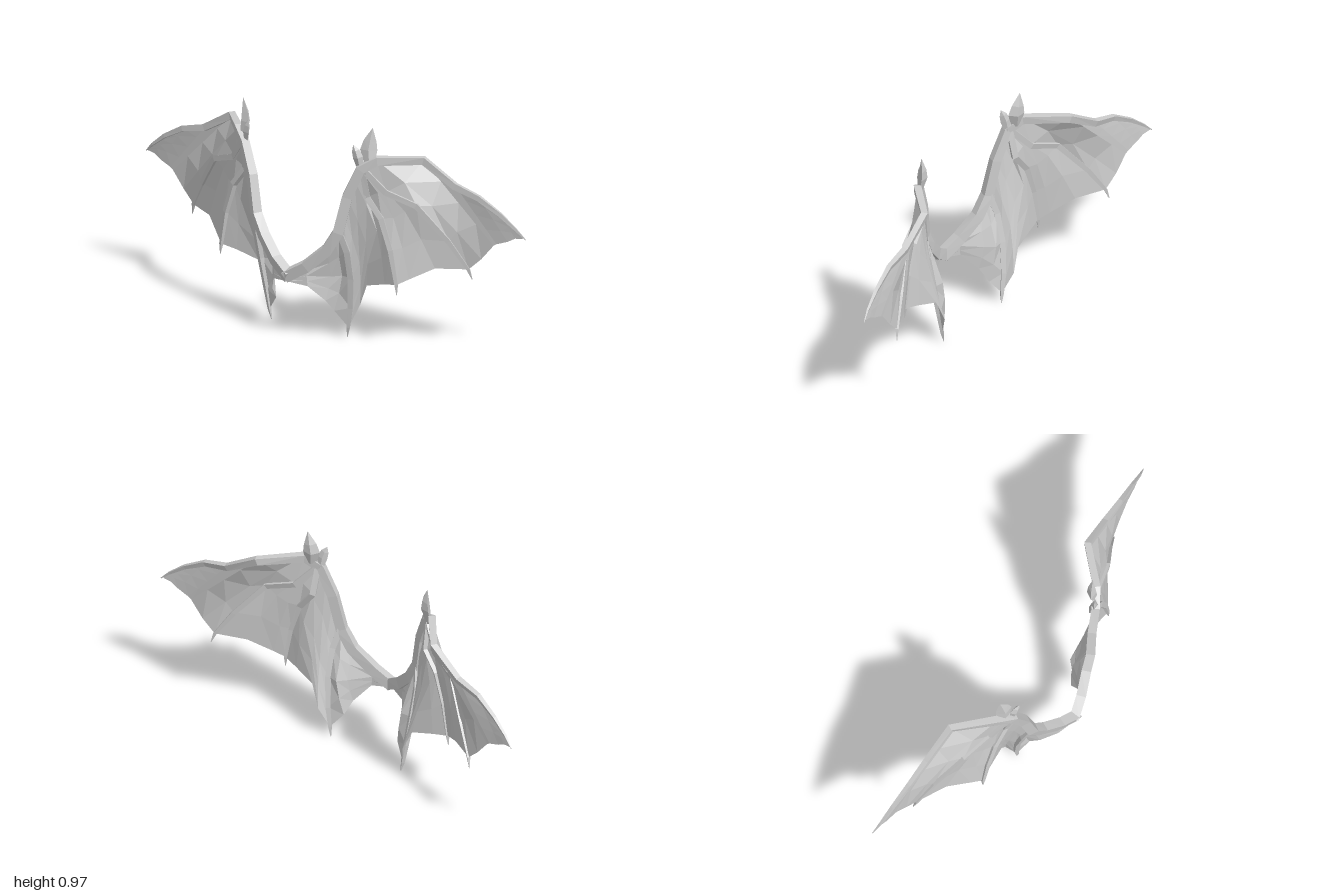
import * as THREE from 'three';

const V = (p) => new THREE.Vector3(...p);
const FRONT = new THREE.Vector3(0.5, 0, 0.86); // way the wing faces

// Bone paths of the left wing
const arm = [
  [-0.01, 0.28, 0.165], [0.08, 0.335, 0.14], [0.165, 0.415, 0.108], [0.215, 0.5, 0.095], [0.25, 0.66, 0.078],
  [0.305, 0.79, 0.058], [0.365, 0.83, 0.02], [0.505, 0.82, -0.125], [0.66, 0.73, -0.142], [0.78, 0.7, -0.147],
  [0.885, 0.642, -0.16], [0.96, 0.585, -0.172], [1, 0.547, -0.183],
].map(V);
const innerFinger = [
  [0.218, 0.51, 0.09], [0.24, 0.41, 0.06], [0.238, 0.28, 0.03], [0.222, 0.14, 0.012], [0.208, 0.05, 0.008],
  [0.2, 0.005, 0.005],
].map(V);
const middleFinger = [
  [0.315, 0.79, 0.05], [0.322, 0.66, 0.025], [0.39, 0.575, 0.018], [0.435, 0.44, 0.014], [0.462, 0.29, 0.01],
  [0.465, 0.245, 0.012],
].map(V);
const outerFinger = [
  [0.32, 0.785, 0.045], [0.4, 0.69, 0], [0.53, 0.645, -0.04], [0.65, 0.49, -0.11], [0.725, 0.37, -0.148],
  [0.738, 0.325, -0.157],
].map(V);
const largeClaw = [[0.335, 0.81, 0.03], [0.325, 0.87, 0.022], [0.33, 0.91, 0.018], [0.342, 0.97, 0.016]].map(V);
const smallClaw = [[0.3, 0.79, 0.05], [0.295, 0.84, 0.058], [0.286, 0.87, 0.063], [0.277, 0.895, 0.068]].map(V);

// Point on the arm at a fractional joint number
function onArm(joint) {
  const i = Math.min(Math.floor(joint), arm.length - 2);
  return arm[i].clone().lerp(arm[i + 1], joint - i);
}

// Fold of skin from the arm to the edge, bowed through an optional middle point
function fold(joint, edge, middle) {
  const top = onArm(joint), end = V(edge);
  const mid = middle ? V(middle) : top.clone().lerp(end, 0.5);
  return new THREE.CatmullRomCurve3([top, mid, end]).getPoints(4);
}

// Skin over rows of points; closed rows form a tube, mirror builds the other side
function skin(rows, closed, mirror) {
  const n = rows[0].length, pos = [], index = [];
  rows.forEach((row) => row.forEach((p) => pos.push(mirror ? -p.x : p.x, p.y, p.z)));
  for (let r = 0; r < rows.length - 1; r++) {
    for (let k = 0; k < (closed ? n : n - 1); k++) {
      const a = r * n + k, b = r * n + (k + 1) % n, c = a + n, d = b + n;
      if (mirror) index.push(a, c, b, b, c, d);
      else index.push(a, b, c, b, d, c);
    }
  }
  const g = new THREE.BufferGeometry();
  g.setAttribute('position', new THREE.Float32BufferAttribute(pos, 3));
  g.setIndex(index);
  g.computeVertexNormals();
  return g;
}

// Four-sided bone along a path; width(t) is its half width, flatness its depth ratio
function bone(path, width, flatness, corners, mirror) {
  const last = path.length - 1;
  const ring = (i, scale) => {
    const t = path[Math.min(i + 1, last)].clone().sub(path[Math.max(i - 1, 0)]).normalize();
    const side = t.clone().cross(FRONT).normalize();
    const up = side.clone().cross(t);
    const w = width(i / last) * scale;
    return corners.map(([u, s]) => path[i].clone().addScaledVector(up, u * w * flatness).addScaledVector(side, s * w));
  };
  return skin([ring(0, 0), ...path.map((_, i) => ring(i, 1)), ring(last, 0)], true, mirror);
}

const BOX = [[1, -0.75], [0.8, 1], [-0.8, 1], [-1, -0.75]];
const DIAMOND = [[1, 0], [0, 1], [-1, 0], [0, -1]];
const armWidth = (t) => 0.028 * (1 - 0.93 * t * t);
const fingerWidth = (t) => 0.015 * (1 - 0.9 * t ** 3);
const clawWidth = (w) => (t) => w * Math.sin(Math.PI * (0.2 + 0.8 * t));

// Folds of the membrane from root to tip, one finger between each pair of panels
function membraneFolds() {
  return [
    fold(0, [-0.01, 0.26, 0.174]),
    fold(1, [0.09, 0.245, 0.14]),
    fold(2, [0.14, 0.175, 0.08], [0.155, 0.28, 0.062]),
    fold(2.65, [0.153, 0.12, 0.035], [0.185, 0.28, 0.022]),
    innerFinger.slice(0, 5),
    fold(3.55, [0.24, 0.145, -0.03], [0.268, 0.35, 0.01]),
    fold(4, [0.285, 0.245, -0.018], [0.305, 0.45, 0.015]),
    fold(4.6, [0.39, 0.275, -0.003], [0.36, 0.51, 0.01]),
    middleFinger.slice(0, 5),
    fold(5, [0.505, 0.315, -0.02], [0.435, 0.58, -0.005]),
    fold(5.1, [0.595, 0.365, -0.085], [0.48, 0.61, -0.028]),
    outerFinger.slice(0, 5),
    fold(6, [0.785, 0.425, -0.158], [0.58, 0.64, -0.085]),
    fold(7, [0.845, 0.495, -0.163]),
    fold(8, [0.86, 0.505, -0.165]),
    fold(9, [0.915, 0.525, -0.17]),
    fold(10, [0.95, 0.545, -0.175]),
    fold(11.3, [0.99, 0.55, -0.18]),
  ];
}

export function createModel() {
  const group = new THREE.Group();
  const solid = new THREE.MeshStandardMaterial({ color: 0xcccccc, flatShading: true });
  const thin = new THREE.MeshStandardMaterial({ color: 0xcccccc, flatShading: true, side: THREE.DoubleSide });

  for (const mirror of [false, true]) {
    const wing = new THREE.Group();
    wing.name = mirror ? 'rightWing' : 'leftWing';
    const add = (name, geometry, material) => {
      const mesh = new THREE.Mesh(geometry, material);
      mesh.name = name;
      wing.add(mesh);
    };
    add('armBone', bone(arm, armWidth, 0.75, BOX, mirror), solid);
    for (const [name, path] of Object.entries({ innerFinger, middleFinger, outerFinger })) {
      add(name, bone(path, fingerWidth, 0.85, BOX, mirror), solid);
    }
    add('largeClaw', bone(largeClaw, clawWidth(0.037), 0.55, DIAMOND, mirror), solid);
    add('smallClaw', bone(smallClaw, clawWidth(0.022), 0.65, DIAMOND, mirror), solid);
    add('membrane', skin(membraneFolds(), false, mirror), thin);
    group.add(wing);
  }
  // The pair sits very slightly turned and off-centre
  group.rotation.y = -0.006;
  group.position.x = -0.004;
  return group;
}
